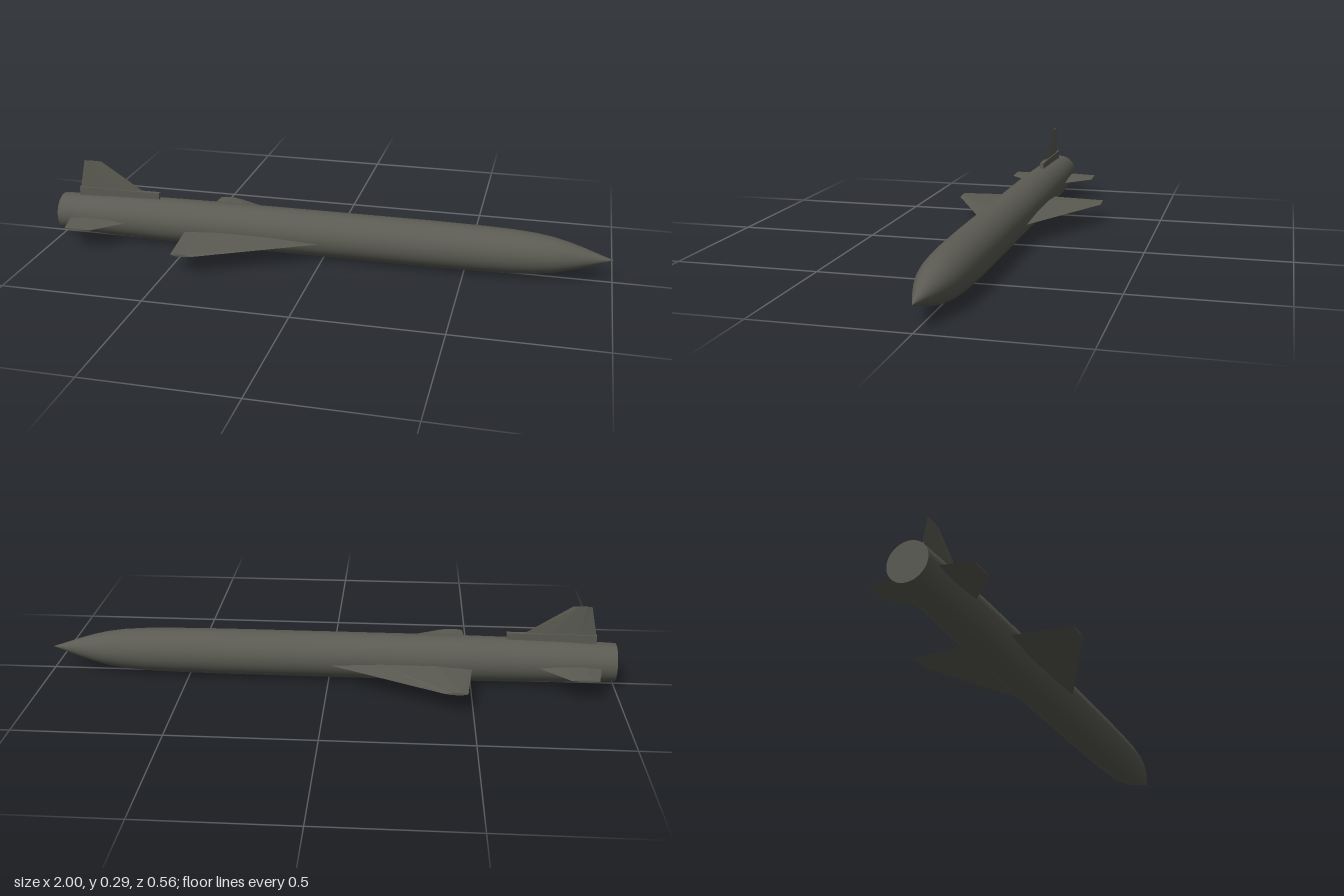
import * as THREE from 'three';

const AXIS_Y = 0.082;

// Tapered fin rising along +y: hexagonal section lofted from root to tip.
// Each station is [trailing x, leading x, height, half thickness].
function finGeometry(root, tip) {
  const ring = ([x0, x1, y, t]) => {
    const at = (f) => x0 + (x1 - x0) * f;
    return [[x1, 0], [at(0.65), -t], [at(0.25), -t], [x0, 0], [at(0.25), t], [at(0.65), t]]
      .map(([x, z]) => [x, y, z]);
  };
  const a = ring(root), b = ring(tip), n = a.length, pos = [];
  const tri = (...corners) => corners.forEach((c) => pos.push(...c));
  for (let i = 0; i < n; i++) {
    const j = (i + 1) % n;
    tri(a[i], b[j], a[j]);
    tri(a[i], b[i], b[j]);
  }
  for (let i = 1; i < n - 1; i++) {
    tri(b[0], b[i + 1], b[i]);
    tri(a[0], a[i], a[i + 1]);
  }
  // Ring runs clockwise or not depending on side, so orient faces outward
  const g = new THREE.BufferGeometry();
  g.setAttribute('position', new THREE.Float32BufferAttribute(pos, 3));
  g.computeVertexNormals();
  return g;
}

export function createModel() {
  const model = new THREE.Group();
  const paint = new THREE.MeshStandardMaterial({ color: 0x5b5b53, side: THREE.DoubleSide });
  paint.name = 'olive grey';

  const add = (name, geometry, y = 0) => {
    const mesh = new THREE.Mesh(geometry, paint);
    mesh.name = name;
    mesh.position.y = y;
    model.add(mesh);
    return mesh;
  };

  // Fuselage with tapered tail and pointed nose: [radius, x]
  const profile = [
    [0.067, -1], [0.071, -0.9], [0.075, -0.8], [0.079, -0.6], [0.081, -0.4],
    [0.081, 0.38], [0.079, 0.56], [0.076, 0.66], [0.07, 0.74], [0.061, 0.8],
    [0.049, 0.85], [0.034, 0.9], [0.017, 0.95], [0, 1],
  ].map(([r, x]) => new THREE.Vector2(r, x));
  add('fuselage', new THREE.LatheGeometry(profile, 48), AXIS_Y).rotation.z = -Math.PI / 2;

  // Flat tail end
  const tail = add('tailCap', new THREE.CircleGeometry(0.067, 48), AXIS_Y);
  tail.position.x = -1;
  tail.rotation.y = -Math.PI / 2;

  // Wings and tailplanes, mirrored to both sides
  const wing = finGeometry([-0.502, 0.01, 0.07, 0.01], [-0.48, -0.4, 0.28, 0.004]);
  const tailplane = finGeometry([-0.948, -0.714, 0.06, 0.007], [-0.925, -0.83, 0.17, 0.003]);
  for (const [side, s] of [['front', 1], ['back', -1]]) {
    add(side + 'Wing', wing, 0.073).rotation.x = s * Math.PI / 2;
    add(side + 'Tailplane', tailplane, 0.083).rotation.x = s * Math.PI / 2;
  }

  // Upright fin on its raised fairing
  const fairing = new THREE.BoxGeometry(0.31, 0.043, 0.016);
  fairing.translate(-0.775, 0.1615, 0);
  add('finFairing', fairing);
  add('uprightFin', finGeometry([-0.93, -0.67, 0.175, 0.004], [-0.906, -0.84, 0.286, 0.002]));

  return model;
}
